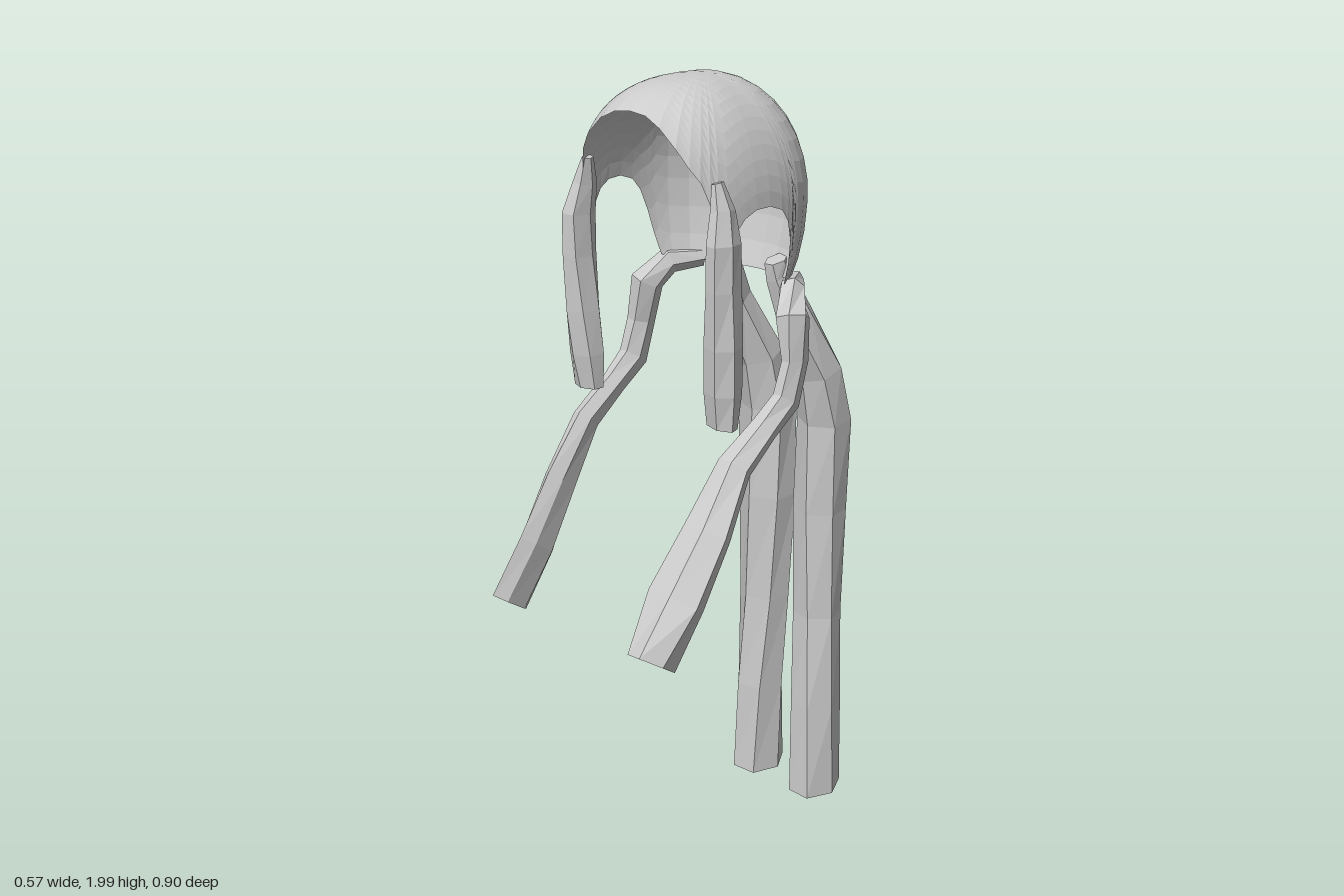
import * as THREE from 'three';

const mat = new THREE.MeshStandardMaterial({ color: 0xcccccc, flatShading: true, side: THREE.DoubleSide });

function buildMesh(name, positions, index) {
  const geo = new THREE.BufferGeometry();
  geo.setAttribute('position', new THREE.Float32BufferAttribute(positions, 3));
  geo.setIndex(index);
  geo.computeVertexNormals();
  const mesh = new THREE.Mesh(geo, mat);
  mesh.name = name;
  return mesh;
}

// Lower hem of the cap: [degrees from the front, height], with sideburn and ear arch
const HEM = [[0, 1.945], [12, 1.94], [24, 1.92], [36, 1.88], [44, 1.84], [50, 1.81], [55, 1.76], [59, 1.7],
  [64, 1.665], [68, 1.69], [73, 1.72], [79, 1.735], [86, 1.735], [92, 1.72], [97, 1.69], [101, 1.64],
  [104, 1.58], [107, 1.53], [115, 1.515], [128, 1.51], [142, 1.505], [155, 1.5], [168, 1.5], [180, 1.5]];

// Domed cap, swept from the crown down to the hem at each azimuth
function cap() {
  const mid = 1.72, rows = 12;
  const hem = [...HEM, ...HEM.slice(1, -1).reverse().map(([a, y]) => [360 - a, y])];
  const pos = [], idx = [], n = hem.length;
  const power = (v, e) => Math.sign(v) * Math.abs(v) ** e;
  for (let i = 0; i <= rows; i++) {
    for (const [deg, yEdge] of hem) {
      const a = THREE.MathUtils.degToRad(deg), front = Math.max(Math.cos(a), 0);
      const thEdge = Math.acos((yEdge - mid) / (yEdge > mid ? 0.28 : 0.38));
      const c = Math.cos(thEdge * i / rows);
      const bulge = 2.05 + 0.75 * front;
      const s = Math.max(0, 1 - Math.abs(c) ** bulge) ** (1 / bulge);
      const e = Math.cos(a) > 0 ? 0.87 : 0.94;
      pos.push(-0.015 + 0.228 * s * power(Math.sin(a), e),
        mid + c * (c > 0 ? 0.28 : 0.38),
        -0.03 + (Math.cos(a) > 0 ? 0.31 : 0.255) * s * power(Math.cos(a), e));
    }
  }
  for (let i = 0; i < rows; i++) {
    for (let j = 0; j < n; j++) {
      const k = (j + 1) % n, p = i * n, q = p + n;
      if (i > 0) idx.push(p + j, q + k, p + k);
      idx.push(p + j, q + j, q + k);
    }
  }
  return buildMesh('hairCap', pos, idx);
}

// Faceted lock of hair; each station is [x, y, z, width, depth]
function strand(name, stations, twist = 0, sides = 6) {
  const pts = stations.map(([x, y, z]) => new THREE.Vector3(x, y, z));
  const pos = [], idx = [], last = pts.length - 1;
  pts.forEach((p, i) => {
    const t = pts[Math.min(i + 1, last)].clone().sub(pts[Math.max(i - 1, 0)]).normalize();
    const u = new THREE.Vector3(1, 0, 0).addScaledVector(t, -t.x).normalize();
    const v = t.clone().cross(u);
    const [, , , w, d] = stations[i];
    for (let j = 0; j < sides; j++) {
      const a = j / sides * Math.PI * 2 + twist * i / last;
      const q = p.clone().addScaledVector(u, Math.cos(a) * w * 0.52).addScaledVector(v, Math.sin(a) * d * 0.55);
      pos.push(q.x, q.y, q.z);
    }
  });
  for (let i = 0; i < last; i++) {
    for (let j = 0; j < sides; j++) {
      const k = (j + 1) % sides, p = i * sides, q = p + sides;
      idx.push(p + j, p + k, q + k, p + j, q + k, q + j);
    }
  }
  for (let j = 1; j < sides - 1; j++) {
    const e = last * sides;
    idx.push(0, j + 1, j, e, e + j, e + j + 1);
  }
  return buildMesh(name, pos, idx);
}

export function createModel() {
  const group = new THREE.Group();
  group.name = 'hair';
  group.add(cap());

  // Two long locks hanging from the nape
  group.add(strand('rightBackLock', [
    [-0.1, 1.54, -0.22, 0.06, 0.06], [-0.108, 1.5, -0.23, 0.065, 0.07], [-0.12, 1.4, -0.268, 0.09, 0.09],
    [-0.1, 1.24, -0.345, 0.14, 0.11], [-0.09, 1.1, -0.378, 0.155, 0.12], [-0.087, 0.85, -0.38, 0.155, 0.12],
    [-0.09, 0.55, -0.378, 0.14, 0.11], [-0.095, 0.28, -0.372, 0.13, 0.13], [-0.096, 0.015, -0.372, 0.13, 0.145]], 1));
  group.add(strand('leftBackLock', [
    [0.055, 1.54, -0.22, 0.05, 0.06], [0.057, 1.5, -0.23, 0.055, 0.07], [0.073, 1.4, -0.268, 0.09, 0.09],
    [0.1, 1.24, -0.345, 0.11, 0.11], [0.095, 1.1, -0.378, 0.135, 0.12], [0.087, 0.85, -0.38, 0.135, 0.12],
    [0.09, 0.55, -0.378, 0.125, 0.11], [0.1, 0.28, -0.372, 0.125, 0.13], [0.104, 0.015, -0.372, 0.125, 0.145]], -1));

  // Locks curling from behind the ears towards the front
  group.add(strand('rightCurledLock', [
    [-0.16, 1.51, -0.2, 0.04, 0.04], [-0.205, 1.51, -0.13, 0.06, 0.06], [-0.24, 1.46, -0.085, 0.075, 0.08],
    [-0.255, 1.36, -0.078, 0.06, 0.07], [-0.258, 1.27, -0.05, 0.06, 0.075], [-0.258, 1.22, 0.02, 0.055, 0.06],
    [-0.26, 1.15, 0.12, 0.055, 0.07], [-0.257, 1.02, 0.215, 0.055, 0.1], [-0.25, 0.88, 0.31, 0.05, 0.12],
    [-0.257, 0.755, 0.4, 0.05, 0.12]], 0.5));
  group.add(strand('leftCurledLock', [
    [0.13, 1.51, -0.2, 0.04, 0.04], [0.175, 1.51, -0.13, 0.06, 0.06], [0.215, 1.46, -0.085, 0.075, 0.08],
    [0.23, 1.36, -0.078, 0.05, 0.07], [0.228, 1.27, -0.05, 0.055, 0.075], [0.222, 1.22, 0.02, 0.065, 0.06],
    [0.215, 1.15, 0.12, 0.085, 0.07], [0.217, 1.02, 0.215, 0.125, 0.085], [0.205, 0.88, 0.31, 0.15, 0.1],
    [0.21, 0.755, 0.4, 0.1, 0.12]], 0.3));

  // Locks falling in front of the ears
  for (const [name, side, cx] of [['rightSideLock', -1, -0.015], ['leftSideLock', 1, 0]]) {
    const stations = [
      [0.187, 1.81, 0.15, 0.02, 0.03], [0.2, 1.75, 0.148, 0.045, 0.06], [0.212, 1.68, 0.158, 0.06, 0.085],
      [0.213, 1.58, 0.158, 0.065, 0.085], [0.21, 1.45, 0.155, 0.085, 0.08], [0.205, 1.34, 0.15, 0.09, 0.07],
      [0.202, 1.255, 0.148, 0.08, 0.045]];
    group.add(strand(name, stations.map(([x, ...rest]) => [cx + side * x, ...rest]), side * 0.4));
  }
  return group;
}
